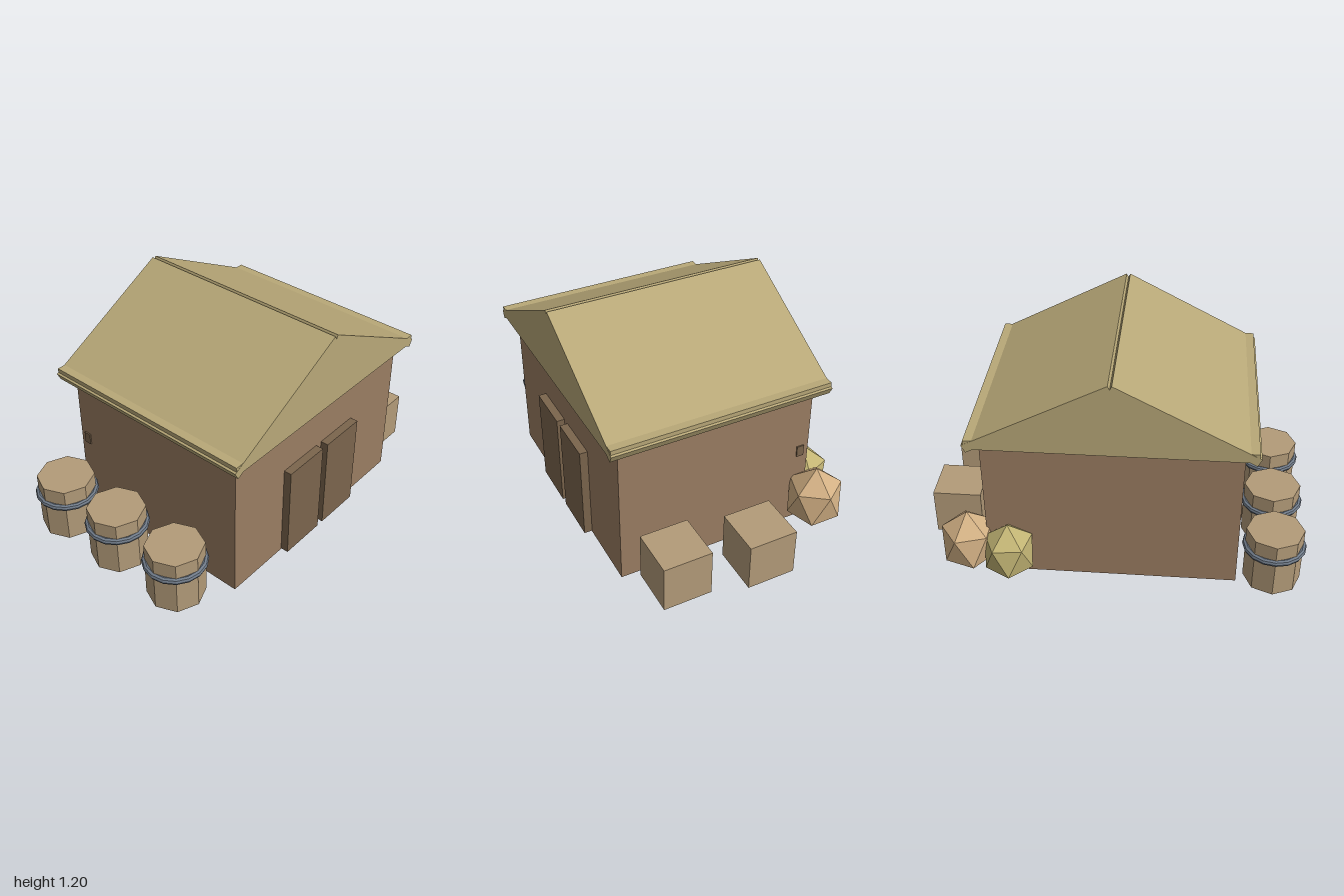
import * as THREE from 'three';
import { ConvexGeometry } from 'three/addons/geometries/ConvexGeometry.js';

const mat = (color) => new THREE.MeshStandardMaterial({ color, flatShading: true });
const MAT = {
  wall: mat(0x9a7d62), roof: mat(0xb8a878), door: mat(0x7b654d),
  crate: mat(0xb39b79), band: mat(0x6f7a88), tanBush: mat(0xd2b084), oliveBush: mat(0xc2b474),
};

export function createModel() {
  const model = new THREE.Group();

  const add = (name, geometry, material, x = 0, y = 0, z = 0, parent = model) => {
    const mesh = new THREE.Mesh(geometry, material);
    mesh.name = name;
    mesh.position.set(x, y, z);
    parent.add(mesh);
    return mesh;
  };

  // Box given by its lower and upper limits
  const box = (name, material, [x0, x1], [y0, y1], [z0, z1], parent) =>
    add(name, new THREE.BoxGeometry(x1 - x0, y1 - y0, z1 - z0), material,
      (x0 + x1) / 2, (y0 + y1) / 2, (z0 + z1) / 2, parent);

  // Outline in x and y, extruded from z0 to z1
  const prism = (name, points, z0, z1, parent) => {
    const shape = new THREE.Shape(points.map(([x, y]) => new THREE.Vector2(x, y)));
    const geometry = new THREE.ExtrudeGeometry(shape, { depth: z1 - z0, bevelEnabled: false });
    return add(name, geometry, MAT.roof, 0, 0, z0, parent);
  };

  // Walls
  box('walls', MAT.wall, [-0.648, 0.648], [0, 0.81], [-0.47, 0.585]);

  // Roof: gable block, two sloping slabs and the eave boards
  const roof = new THREE.Group();
  roof.name = 'roof';
  model.add(roof);
  const back = -0.53, front = 0.645;
  prism('gable', [[-0.67, 0.808], [0.67, 0.808], [0, 1.157]], back + 0.001, front - 0.001, roof);
  for (const s of [-1, 1]) {
    const slab = [[0.01, 1.2], [0.72, 0.83], [0.7, 0.79], [-0.011, 1.16]];
    prism('roofSlab', slab.map(([x, y]) => [s * x, y]), back, front, roof);
    const eave = [[0.64, 0.81], [0.71, 0.81], [0.71, 0.858], [0.64, 0.858]];
    prism('eaveBoard', eave.map(([x, y]) => [s * x, y]), back + 0.001, front - 0.001, roof);
  }

  // Double doors and small wall fittings
  for (const s of [-1, 1]) {
    add('door', new THREE.BoxGeometry(0.26, 0.525, 0.05), MAT.door, s * 0.15, 0.2675, 0.602);
    add('wallFitting', new THREE.BoxGeometry(0.02, 0.062, 0.04), MAT.door, s * 0.645, 0.435, -0.423);
  }

  // Crates along the left wall
  box('crate', MAT.crate, [0.677, 0.935], [0, 0.26], [0.237, 0.495]);
  box('crate', MAT.crate, [0.737, 0.995], [0, 0.26], [-0.195, 0.063]);

  // Octagonal barrels with a hoop, along the right wall
  for (const z of [-0.41, -0.035, 0.365]) {
    const barrel = new THREE.Group();
    barrel.name = 'barrel';
    barrel.position.set(-0.835, 0, z);
    add('barrelBody', new THREE.CylinderGeometry(0.149, 0.149, 0.31, 8), MAT.crate, 0, 0.155, 0, barrel);
    const hoop = add('hoop', new THREE.TorusGeometry(0.148, 0.017, 8, 16), MAT.band, 0, 0.213, 0, barrel);
    hoop.rotation.x = Math.PI / 2;
    model.add(barrel);
  }

  // Bush: a tall icosahedron standing on one point
  const bush = (material, x, z, radius, halfHeight, turn) => {
    const points = [new THREE.Vector3(0, halfHeight, 0), new THREE.Vector3(0, -halfHeight, 0)];
    for (let i = 0; i < 10; i++) {
      const a = turn + (i * Math.PI) / 5;
      const y = halfHeight * 0.447 * (i % 2 ? -1 : 1);
      points.push(new THREE.Vector3(radius * Math.cos(a), y, radius * Math.sin(a)));
    }
    add('bush', new ConvexGeometry(points), material, x, halfHeight + 0.002, z);
  };
  bush(MAT.tanBush, 0.745, -0.47, 0.138, 0.184, 0);
  bush(MAT.oliveBush, 0.527, -0.528, 0.127, 0.172, 0.2);

  return model;
}
